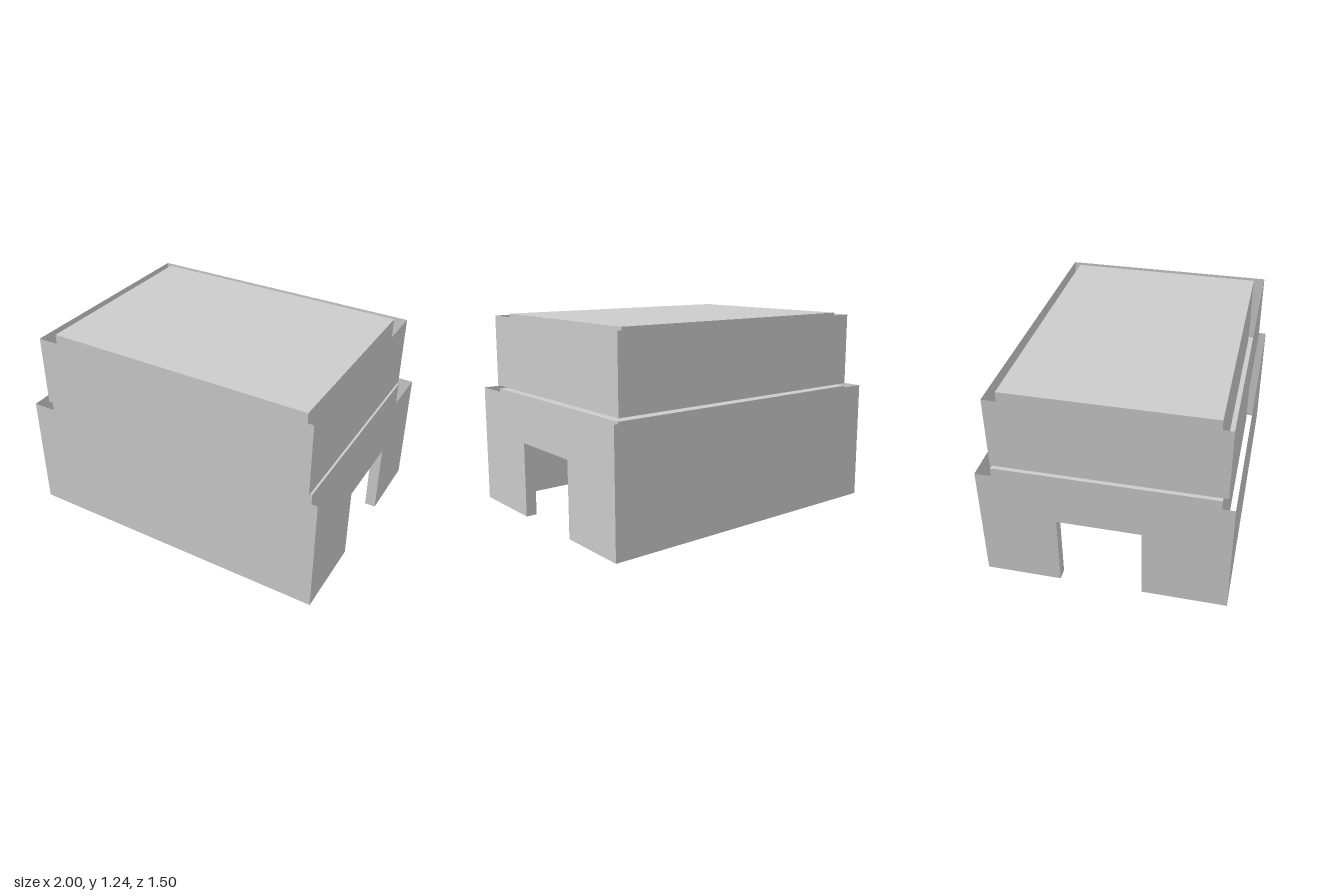
import * as THREE from 'three';

const material = new THREE.MeshStandardMaterial({
  color: 0xcccccc, flatShading: true, side: THREE.DoubleSide,
});

// Doorway opening shared by both end walls
const door = { back: -0.28, front: 0.23, top: 0.473 };

function add(parent, name, geometry) {
  const mesh = new THREE.Mesh(geometry, material);
  mesh.name = name;
  parent.add(mesh);
}

// Horizontal sheet facing up
function level(x0, x1, z0, z1, y) {
  return new THREE.PlaneGeometry(x1 - x0, z1 - z0)
    .rotateX(-Math.PI / 2)
    .translate((x0 + x1) / 2, y, (z0 + z1) / 2);
}

// Upright sheet facing along z
function upright(x0, x1, y0, y1, z) {
  return new THREE.PlaneGeometry(x1 - x0, y1 - y0)
    .translate((x0 + x1) / 2, (y0 + y1) / 2, z);
}

// End sheet across z, with an optional doorway cut from its foot
function endSheet(x, y0, y1, z0, z1, hasDoor) {
  const shape = new THREE.Shape().moveTo(z0, y0);
  if (hasDoor) {
    shape.lineTo(door.back, y0).lineTo(door.back, door.top)
      .lineTo(door.front, door.top).lineTo(door.front, y0);
  }
  shape.lineTo(z1, y0).lineTo(z1, y1).lineTo(z0, y1).closePath();
  return new THREE.ShapeGeometry(shape).rotateY(-Math.PI / 2).translate(x, 0, 0);
}

// Four walls, open above and below
function shell(parent, name, halfX, y0, y1, z0, z1, hasDoor = false) {
  const group = new THREE.Group();
  group.name = name;
  add(group, 'frontWall', upright(-halfX, halfX, y0, y1, z1));
  add(group, 'backWall', upright(-halfX, halfX, y0, y1, z0).rotateY(0));
  add(group, 'leftWall', endSheet(halfX, y0, y1, z0, z1, hasDoor));
  add(group, 'rightWall', endSheet(-halfX, y0, y1, z0, z1, hasDoor));
  parent.add(group);
}

export function createModel() {
  const model = new THREE.Group();
  model.name = 'building';

  // Ground storey: outer and inner wall skins, closed by a ceiling
  shell(model, 'lowerOuterWalls', 1, 0, 0.755, -0.75, 0.75, true);
  shell(model, 'lowerInnerWalls', 0.93, 0, 0.75, -0.684, 0.671, true);
  add(model, 'ceiling', level(-0.93, 0.93, -0.684, 0.671, 0.75));

  // Doorway linings through both end walls
  for (const side of [-1, 1]) {
    const x0 = side > 0 ? 0.93 : -1;
    const x1 = x0 + 0.07;
    add(model, 'doorwaySoffit', level(x0, x1, door.back, door.front, door.top));
    for (const z of [door.back, door.front]) {
      add(model, 'doorwayJamb', upright(x0, x1, 0, door.top, z));
    }
  }

  // Upper storey: outer skin around an inner core with a flat roof
  shell(model, 'upperOuterWalls', 0.925, 0.768, 1.227, -0.684, 0.703);
  shell(model, 'upperInnerWalls', 0.858, 0.768, 1.24, -0.626, 0.634);
  add(model, 'roof', level(-0.858, 0.858, -0.626, 0.634, 1.24));

  return model;
}
